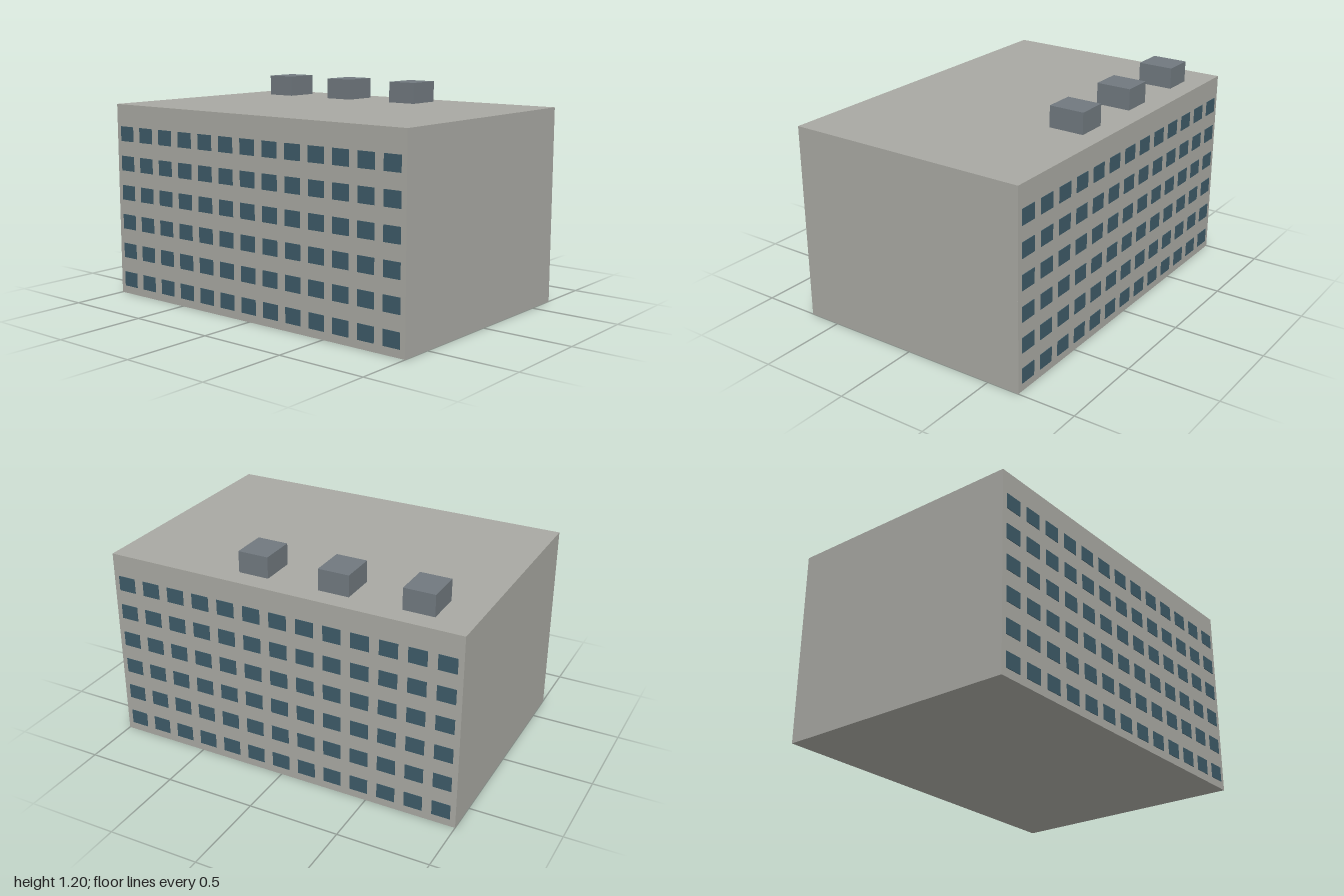
import * as THREE from 'three';

const STOREYS = 6, STOREY_H = 1 / 6, ROOF_Y = 1.083;
const WIDTH = 2, HALF_DEPTH = 0.682;
const COLUMNS = 13, PITCH = 0.1533;

const paint = (color) => new THREE.MeshStandardMaterial({ color });

function box(name, size, position, material) {
  const mesh = new THREE.Mesh(new THREE.BoxGeometry(...size), material);
  mesh.name = name;
  mesh.position.set(...position);
  return mesh;
}

export function createModel() {
  const building = new THREE.Group();
  building.name = 'officeBlock';
  const wall = paint(0xa8a8a2), glass = paint(0x3d5a67), metal = paint(0x70787e);

  for (let s = 0; s < STOREYS; s++) {
    const storey = new THREE.Group();
    storey.name = `storey${s + 1}`;

    // Storey slab; the top one carries on up to the roof
    const bottom = s * STOREY_H;
    const top = s === STOREYS - 1 ? ROOF_Y : bottom + STOREY_H;
    storey.add(box('storeyWalls', [WIDTH, top - bottom, HALF_DEPTH * 2], [0, (bottom + top) / 2, 0], wall));

    // Slightly proud windows along the front and back
    for (const side of [1, -1]) {
      for (let c = 0; c < COLUMNS; c++) {
        const x = (c - (COLUMNS - 1) / 2) * PITCH;
        storey.add(box(side > 0 ? 'frontWindow' : 'backWindow', [0.1, 0.083, 0.02],
          [x, bottom + 0.085, side * (HALF_DEPTH - 0.007)], glass));
      }
    }
    building.add(storey);
  }

  // Rooftop plant units in a row near the back
  for (let i = 0; i < 3; i++) {
    building.add(box('rooftopUnit', [0.17, 0.117, 0.198],
      [-0.714 + i * 0.4565, ROOF_Y + 0.0585, -0.471], metal));
  }
  return building;
}
